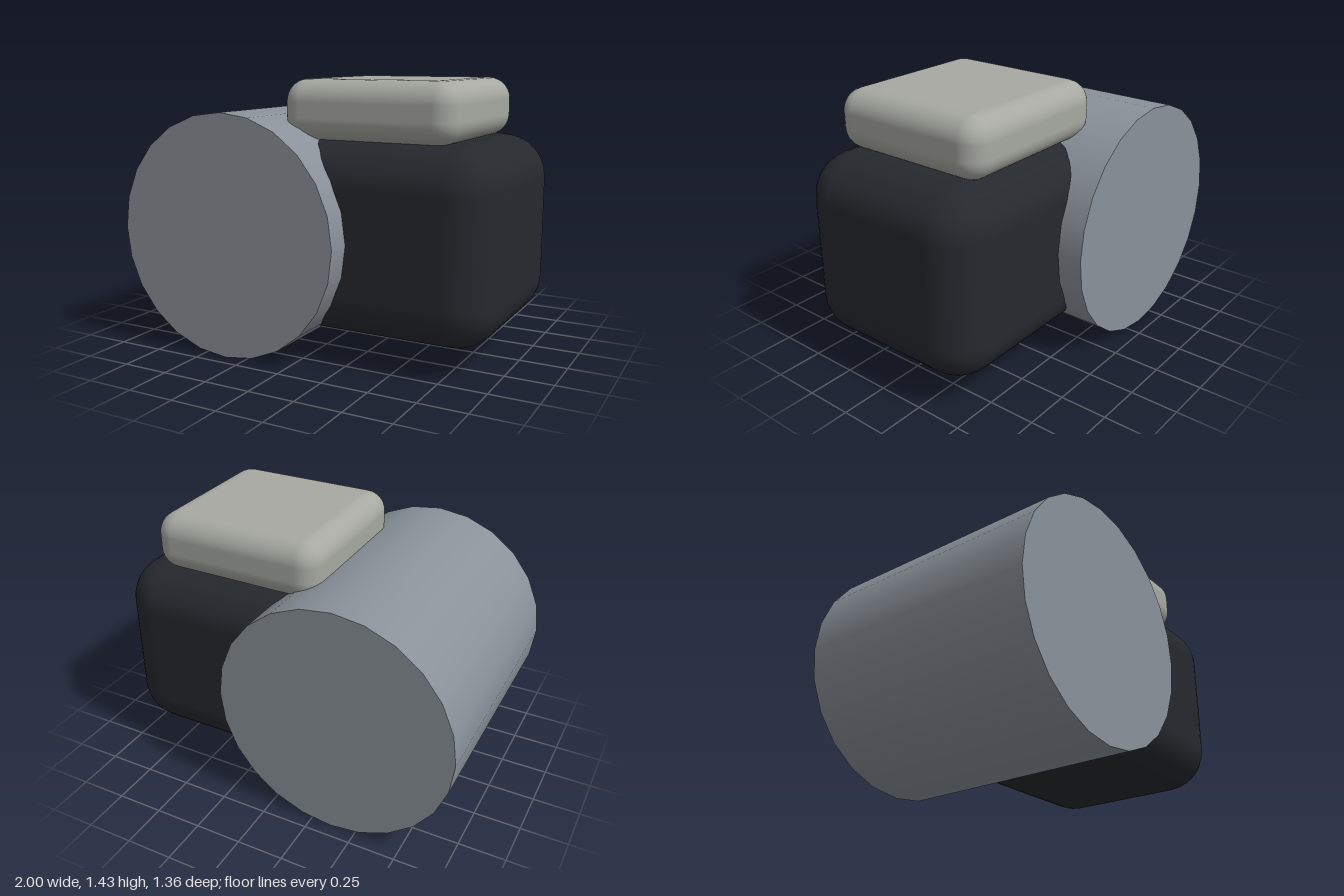
import * as THREE from 'three';
import { RoundedBoxGeometry } from 'three/addons/geometries/RoundedBoxGeometry.js';

function part(name, geometry, color, x, y) {
  const mesh = new THREE.Mesh(geometry, new THREE.MeshStandardMaterial({ color }));
  mesh.name = name;
  mesh.position.set(x, y, 0);
  return mesh;
}

export function createModel() {
  const group = new THREE.Group();
  group.name = 'drumWithBlocks';

  // Large drum lying along z, with a corner at its lowest point
  const drum = new THREE.CylinderGeometry(0.636, 0.636, 1.36, 24).rotateX(Math.PI / 2);
  group.add(part('drum', drum, 0x8a9199, -0.364, 0.636));

  // Dark rounded block sunk into the drum's side
  const block = new RoundedBoxGeometry(1.18, 1, 1.09, 4, 0.23);
  group.add(part('sideBlock', block, 0x25292e, 0.41, 0.638));

  // Pale rounded pad on top of the block, overlapping the drum
  const pad = new RoundedBoxGeometry(0.95, 0.31, 0.91, 4, 0.115);
  group.add(part('topPad', pad, 0xa6a8a1, 0.315, 1.28));

  return group;
}
